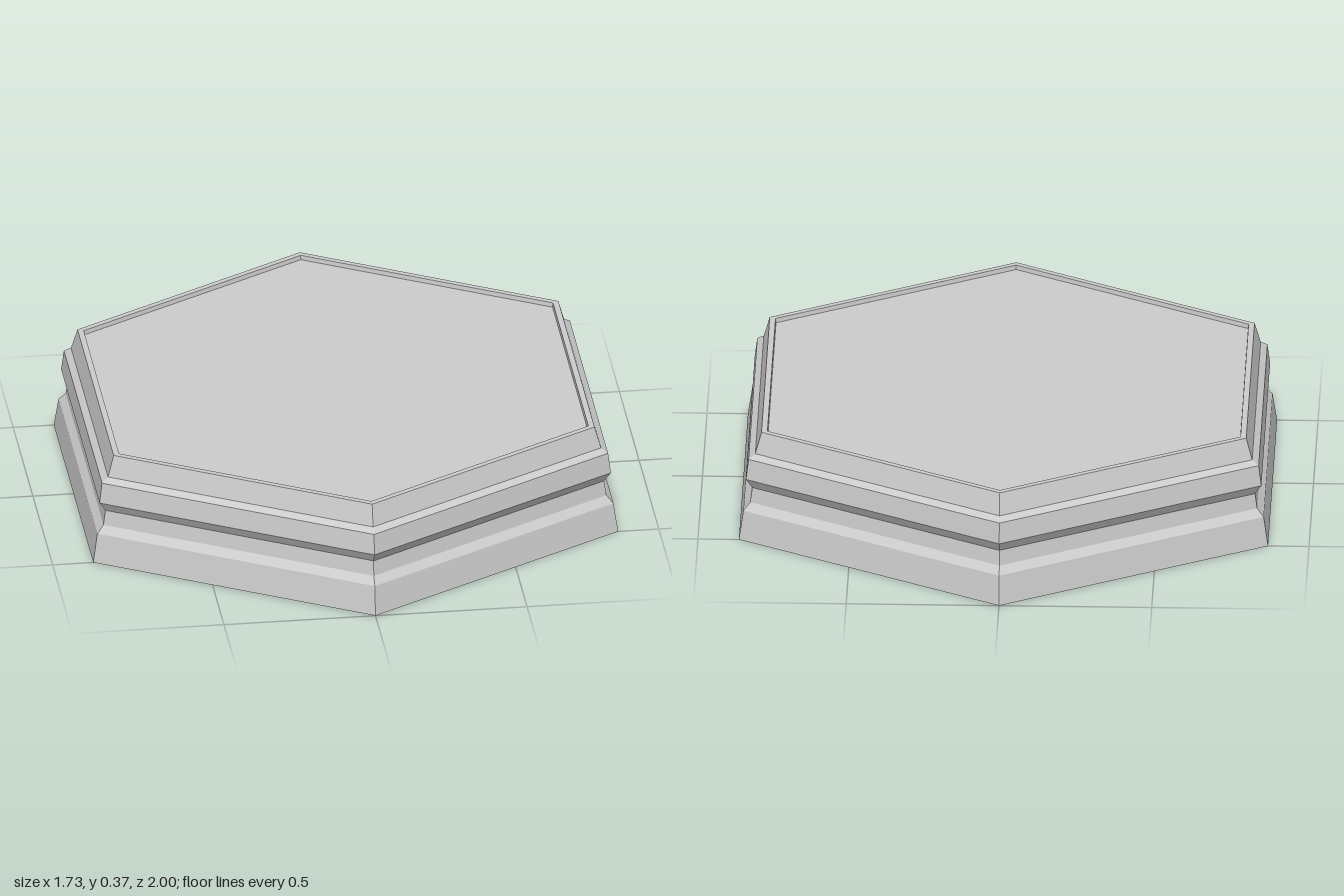
import * as THREE from 'three';

export function createModel() {
  const group = new THREE.Group();
  group.name = 'hexagonalPlinth';
  const material = new THREE.MeshStandardMaterial({ color: 0xcccccc, flatShading: true });

  // Moulding profile: corner radius and height, from the underside up to the recessed top
  const profile = [
    [0, 0], [1, 0],             // underside
    [0.983, 0.1],               // tapered foot
    [0.958, 0.125],             // chamfer into the groove
    [0.95, 0.176],              // groove
    [0.974, 0.21],              // underside of the upper band
    [0.964, 0.28],              // upper band
    [0.939, 0.295],             // ledge
    [0.916, 0.367],             // tapered rim
    [0.894, 0.367],             // lip
    [0.892, 0.352], [0, 0.352], // shallow recess
  ].map(([r, y]) => new THREE.Vector2(r, y));

  // Six segments put corners on +z and -z
  const plinth = new THREE.Mesh(new THREE.LatheGeometry(profile, 6), material);
  plinth.name = 'plinth';
  group.add(plinth);
  return group;
}
